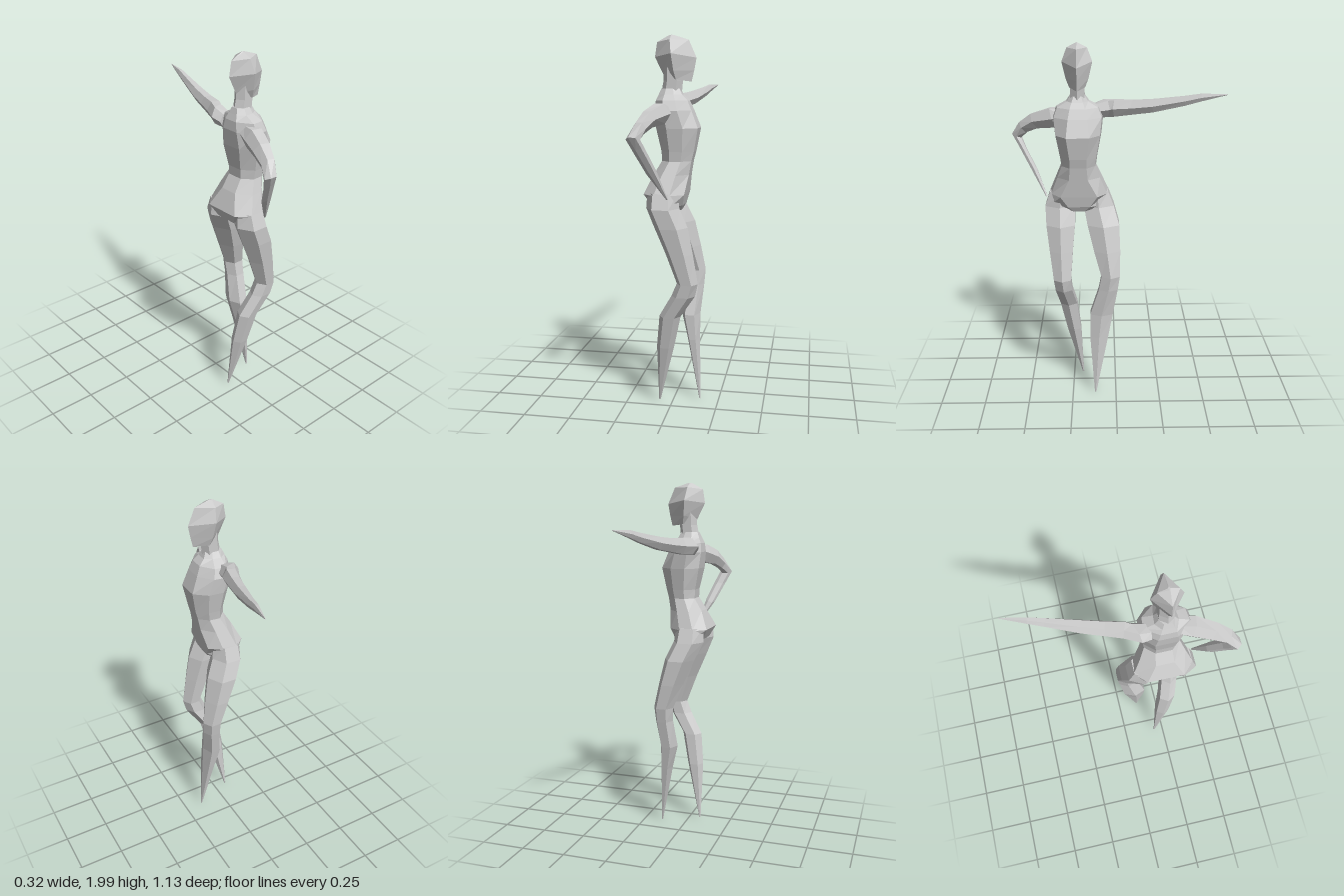
import * as THREE from 'three';

const material = new THREE.MeshStandardMaterial({ color: 0xcccccc, flatShading: true });

// Skins a list of rings (equal point counts) into a closed, faceted mesh.
function loft(name, rings) {
  const n = rings[0].length, pos = [];
  const tri = (a, b, c) => pos.push(...a, ...b, ...c);
  const mid = (r) => [0, 1, 2].map((k) => r.reduce((s, p) => s + p[k], 0) / n);
  for (let i = 0; i < rings.length - 1; i++) {
    const a = rings[i], b = rings[i + 1];
    for (let j = 0; j < n; j++) {
      const k = (j + 1) % n;
      tri(a[j], a[k], b[k]);
      tri(a[j], b[k], b[j]);
    }
  }
  const first = rings[0], last = rings[rings.length - 1];
  for (let j = 0; j < n; j++) {
    const k = (j + 1) % n;
    tri(mid(first), first[k], first[j]);
    tri(mid(last), last[j], last[k]);
  }
  // Signed volume tells whether the faces point outwards.
  let volume = 0;
  const v = [0, 1, 2].map(() => new THREE.Vector3());
  for (let i = 0; i < pos.length; i += 9) {
    v.forEach((p, k) => p.fromArray(pos, i + k * 3));
    volume += v[0].dot(v[1].clone().cross(v[2]));
  }
  if (volume < 0) {
    for (let i = 0; i < pos.length; i += 9) {
      for (let k = 0; k < 3; k++) [pos[i + k], pos[i + 3 + k]] = [pos[i + 3 + k], pos[i + k]];
    }
  }
  const geometry = new THREE.BufferGeometry();
  geometry.setAttribute('position', new THREE.Float32BufferAttribute(pos, 3));
  geometry.computeVertexNormals();
  const mesh = new THREE.Mesh(geometry, material);
  mesh.name = name;
  return mesh;
}

// Ring around centre c spanned by two half-axis vectors.
function ring(c, u, v, sides = 6) {
  return Array.from({ length: sides }, (_, i) => {
    const t = (i / sides) * Math.PI * 2;
    return c.map((x, k) => x + Math.cos(t) * u[k] + Math.sin(t) * v[k]);
  });
}

// Horizontal ring from its extents: y, back x, front x, low z, high z.
function level([y, x0, x1, z0, z1]) {
  return ring([(x0 + x1) / 2, y, (z0 + z1) / 2], [(x1 - x0) / 2, 0, 0], [0, 0, (z1 - z0) / 1.732]);
}

const MID = 0.2; // z of the body's middle plane

// Torso: y, back x, front x, half width, half width of the front and back panels
const torsoRings = [
  [1.73, -0.05, 0.045, 0.04, 0.02],
  [1.70, -0.062, 0.06, 0.06, 0.03],
  [1.67, -0.075, 0.09, 0.115, 0.04],
  [1.62, -0.08, 0.112, 0.135, 0.05],
  [1.53, -0.07, 0.147, 0.125, 0.06],
  [1.41, -0.045, 0.125, 0.102, 0.045],
  [1.36, -0.042, 0.112, 0.095, 0.045],
  [1.29, -0.085, 0.1, 0.123, 0.05],
  [1.19, -0.13, 0.083, 0.163, 0.1],
  [1.13, -0.1, 0.07, 0.165, 0.06],
  [1.10, -0.04, 0.055, 0.06, 0.03],
].map(([y, b, f, w, p]) => {
  const half = [[f, p], [b + (f - b) * 0.68, w * 0.94], [b + (f - b) * 0.3, w], [b, p]];
  return [
    ...half.map(([x, z]) => [x, y, MID + z]),
    ...half.reverse().map(([x, z]) => [x, y, MID - z]),
  ];
});

// Head: diamond rings of back, side and front points, the front and back at their own heights
const headRings = [
  // back x, back y, side x, side y, front x, front y, half width
  [-0.01, 2.0, 0, 2.0, 0.01, 2.0, 0.005],
  [-0.075, 1.965, 0, 1.975, 0.09, 1.975, 0.053],
  [-0.087, 1.89, 0.01, 1.905, 0.13, 1.885, 0.08],
  [-0.047, 1.81, 0.02, 1.82, 0.118, 1.82, 0.06],
  [-0.04, 1.795, 0.03, 1.775, 0.105, 1.765, 0.042],
].map(([bx, by, sx, sy, fx, fy, w]) => [
  [fx, fy, MID], [sx, sy, MID + w], [bx, by, MID], [sx, sy, MID - w],
]);

const neckRings = [
  [1.84, -0.04, 0.06], [1.77, -0.042, 0.06], [1.68, -0.06, 0.052],
].map(([y, b, f]) => level([y, b, f, MID - 0.038, MID + 0.038]));

// Legs, hip to toe
const legs = {
  rightLeg: [
    [1.2, -0.11, 0.05, 0.24, 0.36],
    [1.12, -0.115, 0.06, 0.225, 0.387],
    [1.02, -0.075, 0.103, 0.225, 0.382],
    [0.88, -0.015, 0.13, 0.238, 0.365],
    [0.72, 0.045, 0.157, 0.25, 0.345],
    [0.65, 0.015, 0.14, 0.245, 0.338],
    [0.53, -0.055, 0.06, 0.222, 0.315],
    [0.35, -0.075, 0.02, 0.203, 0.28],
    [0.02, -0.074, -0.066, 0.191, 0.199],
  ],
  leftLeg: [
    [1.2, -0.11, 0.05, 0.04, 0.16],
    [1.12, -0.115, 0.06, 0.01, 0.175],
    [1.02, -0.07, 0.105, -0.02, 0.155],
    [0.88, -0.01, 0.135, -0.025, 0.12],
    [0.74, 0.045, 0.16, -0.022, 0.08],
    [0.66, 0.05, 0.155, -0.01, 0.095],
    [0.5, 0.035, 0.14, 0.018, 0.145],
    [0.36, 0.07, 0.14, 0.045, 0.147],
    [0.01, 0.141, 0.149, 0.115, 0.123],
  ],
};

// Bent arm with the hand resting on the hip
const bentArm = [
  ring([-0.02, 1.62, 0.27], [0.05, 0, 0.01], [0, 0.04, 0]),
  ring([-0.035, 1.605, 0.33], [0.055, 0, 0.01], [0, 0.058, 0.02]),
  ring([-0.075, 1.58, 0.43], [0.042, 0, 0.02], [0, 0.046, 0.02]),
  ring([-0.1, 1.54, 0.5], [0.034, 0, 0.012], [0, 0.033, 0.02]),
  ring([-0.125, 1.488, 0.542], [0.036, 0, 0], [0, 0.012, 0.028]),
  ring([-0.1, 1.43, 0.512], [0.03, 0.008, 0], [0, 0.012, 0.025]),
  ring([-0.055, 1.32, 0.45], [0.026, 0.008, 0], [0, 0.012, 0.024]),
  ring([0.01, 1.175, 0.378], [0.005, 0, 0], [0, 0, 0.005]),
];

// Straight arm pointing away to the side
const straightArm = [
  ring([-0.03, 1.64, 0.12], [0.045, 0, 0], [0, 0.04, 0]),
  ring([-0.03, 1.655, 0.05], [0.058, 0, -0.02], [0, 0.05, 0]),
  ring([-0.005, 1.66, 0.0], [0.042, 0, 0.015], [0, 0.05, 0]),
  ring([0.02, 1.668, -0.09], [0.038, 0, 0.012], [0, 0.042, 0]),
  ring([0.05, 1.682, -0.2], [0.034, 0, 0.01], [0, 0.038, 0]),
  ring([0.093, 1.715, -0.36], [0.022, 0, 0.006], [0, 0.028, 0]),
  ring([0.112, 1.735, -0.44], [0.016, 0, 0.004], [0, 0.022, 0]),
  ring([0.145, 1.755, -0.568], [0.002, 0, 0], [0, 0.002, 0]),
];

export function createModel() {
  const figure = new THREE.Group();
  figure.name = 'figure';
  figure.add(
    loft('head', headRings),
    loft('neck', neckRings),
    loft('torso', torsoRings),
    loft('bentArm', bentArm),
    loft('straightArm', straightArm),
  );
  for (const [name, rows] of Object.entries(legs)) figure.add(loft(name, rows.map(level)));
  return figure;
}
